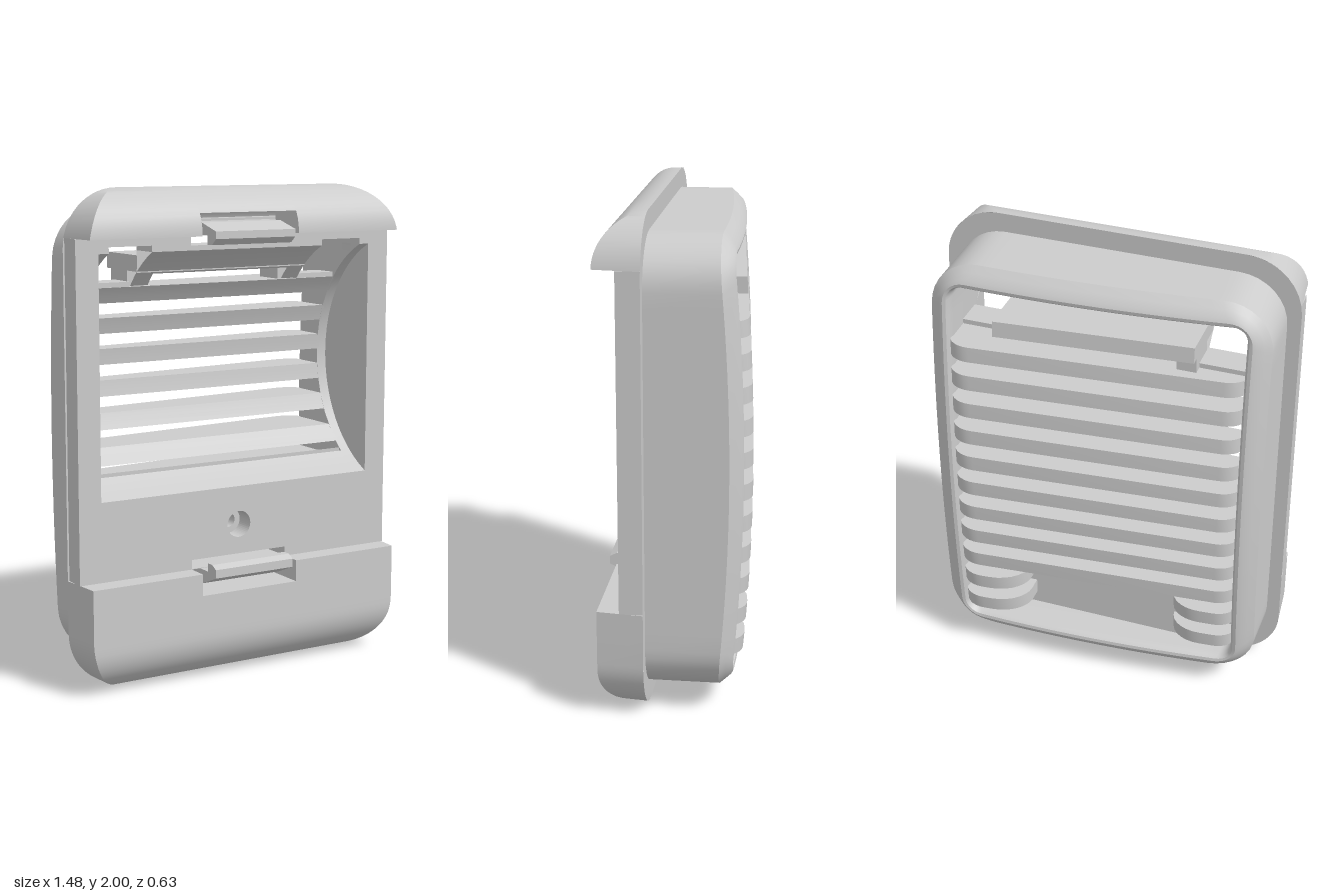
import * as THREE from 'three';
import { toCreasedNormals } from 'three/addons/utils/BufferGeometryUtils.js';

const grey = new THREE.MeshStandardMaterial({ color: 0xcccccc, side: THREE.DoubleSide });
grey.name = 'light grey plastic';

const FACE = 0.185, FLOOR = 0.056, BACK = 0.09;
const SCOOP = { y0: 0.775, y1: 1.75, r: 0.538, cy: 1.2625, cz: 0.413, x: 0.635 };
const INNER = 0.59;

// depth of the cylindrical scoop at a height
const scoopZ = y => SCOOP.cz - Math.sqrt(Math.max(0, SCOOP.r ** 2 - (y - SCOOP.cy) ** 2));
// depth of the tilted, bulging rear edge of the housing
const edgeZ = (x, y) => -(0.197 + 0.06 * x - 0.05 * ((y - 1) / 0.92) ** 2 + 0.035 * (1 - (x / 0.685) ** 2));

function add(group, name, geometry) {
  const mesh = new THREE.Mesh(geometry, grey);
  mesh.name = name;
  group.add(mesh);
  return mesh;
}

// collects four-cornered faces into one geometry
function quadList() {
  const pos = [];
  return {
    quad(a, b, c, d) { pos.push(...a, ...b, ...c, ...a, ...c, ...d); },
    build() {
      const g = new THREE.BufferGeometry();
      g.setAttribute('position', new THREE.Float32BufferAttribute(pos, 3));
      return toCreasedNormals(g, 0.5);
    }
  };
}

// rounded rectangle with subdivided sides, centred on y = 1
function ring(hx, hy, r) {
  const corners = [];
  for (let k = 0; k < 4; k++) {
    const cx = (k === 0 || k === 3 ? 1 : -1) * (hx - r), cy = 1 + (k < 2 ? 1 : -1) * (hy - r);
    const arc = [];
    for (let i = 0; i <= 8; i++) {
      const a = (k + i / 8) * Math.PI / 2;
      arc.push(new THREE.Vector2(cx + r * Math.cos(a), cy + r * Math.sin(a)));
    }
    corners.push(arc);
  }
  return corners.flatMap((arc, k) => {
    const next = corners[(k + 1) % 4][0], side = [];
    for (let j = 1; j < 20; j++) side.push(arc[8].clone().lerp(next, j / 20));
    return [...arc, ...side];
  });
}
const bodyRing = inset => ring(0.685 - inset, 0.92 - inset, 0.2 - 1.6 * inset);

function rectPath(x0, x1, y0, y1) {
  return [[x0, y0], [x1, y0], [x1, y1], [x0, y1]].map(p => new THREE.Vector2(...p));
}

// plate with the scoop opening, clip slots and screw hole cut out
function plate(outline, z0, z1, screwRadius) {
  const shape = new THREE.Shape(outline);
  const { x, y0, y1 } = SCOOP;
  const opening = [[-x, y0], [x, y0], [x, y1], [INNER, y1], [INNER, 1.775], [0.4, 1.775], [0.4, y1],
    [-0.4, y1], [-0.4, 1.775], [-INNER, 1.775], [-INNER, y1], [-x, y1]].map(p => new THREE.Vector2(...p));
  const screw = new THREE.Path().absarc(0, 0.615, screwRadius, 0, Math.PI * 2);
  shape.holes.push(new THREE.Path(opening), screw,
    new THREE.Path(rectPath(-0.225, 0.225, 0.452, 0.49)),
    new THREE.Path(rectPath(-0.225, 0.225, 1.77, 1.808)));
  const g = new THREE.ExtrudeGeometry(shape, { depth: z1 - z0, bevelEnabled: false, curveSegments: 24 });
  return g.translate(0, 0, z0);
}

// rounded raised end of the front frame, with a clip pocket in its inner edge
function frameEnd(end, pocket, top) {
  const R = 0.23, q = quadList(), P = 0.225;
  const Y = d => (top ? 2 - d : d);
  const w = d => (d < R ? 0.74 - R + Math.sqrt(R * R - (R - d) ** 2) : 0.74);
  const zf = d => BACK + 0.186 * (d < 0.19 ? Math.sqrt(1 - (1 - d / 0.19) ** 2) : 1);
  const rows = [pocket, end];
  for (let i = 0; i <= 14; i++) rows.push(R * (1 - Math.cos(i / 14 * Math.PI / 2)));
  const ds = rows.filter(d => d <= end).sort((a, b) => a - b);
  const section = d => {
    const z = zf(d), wf = w(d) - 0.11 * (z - BACK);
    return [[-w(d), Y(d), BACK], [-wf, Y(d), z], [-P, Y(d), z], [P, Y(d), z], [wf, Y(d), z], [w(d), Y(d), BACK]];
  };
  const face = (a, b, c, d) => (top ? q.quad(d, c, b, a) : q.quad(a, b, c, d));
  for (let i = 0; i + 1 < ds.length; i++) {
    const a = section(ds[i]), b = section(ds[i + 1]), inPocket = ds[i] >= pocket - 1e-6;
    for (let j = 0; j < 5; j++) if (!(j === 2 && inPocket)) face(a[j], a[j + 1], b[j + 1], b[j]);
    if (inPocket) for (const s of [2, 3]) {
      q.quad(a[s], b[s], [b[s][0], b[s][1], 0.1], [a[s][0], a[s][1], 0.1]);
    }
  }
  // pocket end wall and the step down to the face
  const p = section(pocket), e = section(end);
  face(p[2], p[3], [P, Y(pocket), 0.1], [-P, Y(pocket), 0.1]);
  face(e[1], e[2], [-P, Y(end), BACK], e[0]);
  face(e[3], e[4], e[5], [P, Y(end), BACK]);
  return q.build();
}

// housing wall: outer side, rounded rear lip and inner pocket wall
function housing() {
  const q = quadList();
  const lip = [[0, 0], [0.025, 0.022], [0.05, 0.042], [0.066, 0.048], [0.08, 0.044], [0.09, 0.03], [0.095, 0.005]];
  const sections = [[0, () => BACK], ...lip.map(([inset, rise]) => [inset, (x, y) => edgeZ(x, y) - rise]),
    [0.095, (x, y) => Math.min(FLOOR, scoopZ(y))]];
  const rings = sections.map(([inset, z]) => bodyRing(inset).map(p => [p.x, p.y, z(p.x, p.y)]));
  for (let k = 0; k + 1 < rings.length; k++) {
    const a = rings[k], b = rings[k + 1], n = a.length;
    for (let i = 0; i < n; i++) q.quad(a[i], b[i], b[(i + 1) % n], a[(i + 1) % n]);
  }
  return q.build();
}

// concave front recess: end walls, side ledges and the closed top and bottom slopes
function scoop() {
  const q = quadList(), N = 40, { y0, y1, x: X } = SCOOP;
  const slope = (xa, xb, a, b) =>
    q.quad([xa, a, scoopZ(a)], [xb, a, scoopZ(a)], [xb, b, scoopZ(b)], [xa, b, scoopZ(b)]);
  for (let i = 0; i < N; i++) {
    const a = y0 + (y1 - y0) * i / N, b = y0 + (y1 - y0) * (i + 1) / N;
    for (const s of [-1, 1]) {
      q.quad([s * X, a, FACE], [s * X, a, scoopZ(a)], [s * X, b, scoopZ(b)], [s * X, b, FACE]);
      slope(s < 0 ? -X : INNER, s < 0 ? -INNER : X, a, b);
      if (a > 1.6) slope(s < 0 ? -0.4 : 0.32, s < 0 ? -0.32 : 0.4, a, b);
    }
    if (b < 0.87) slope(-INNER, INNER, a, b);
    if (a > 1.65) slope(-0.32, 0.32, a, b);
  }
  q.quad([INNER, y0, FLOOR], [-INNER, y0, FLOOR], [-INNER, 0.86, FLOOR], [INNER, 0.86, FLOOR]);
  q.quad([0.4, 1.66, FLOOR], [-0.4, 1.66, FLOOR], [-0.4, y1, FLOOR], [0.4, y1, FLOOR]);
  return q.build();
}

// louvre slat: rounded rear corners, tilted rear edge, front edge following the scoop
function slat(x0, x1, y, r0, r1) {
  const h = 0.066, back = x => 0.269 + 0.0926 * x, pts = [new THREE.Vector2(x1, -1)];
  const corner = (x, dir, r) => {
    const arc = [];
    for (let i = 0; i <= 7; i++) {
      const a = i / 7 * Math.PI / 2, px = x - dir * r * (1 - Math.cos(a));
      arc.push(new THREE.Vector2(px, back(px) - 0.8 * r * (1 - Math.sin(a))));
    }
    return r ? arc : [new THREE.Vector2(x, back(x))];
  };
  pts.push(...corner(x1, 1, r1), ...corner(x0, -1, r0).reverse(), new THREE.Vector2(x0, -1));
  const g = new THREE.ExtrudeGeometry(new THREE.Shape(pts), { depth: h, steps: 2, bevelEnabled: false });
  g.rotateX(-Math.PI / 2).translate(0, y - h / 2, 0);
  const p = g.attributes.position;
  for (let i = 0; i < p.count; i++) {
    const py = p.getY(i), z = p.getZ(i);
    p.setZ(i, z > 0.5 ? Math.min(FLOOR, scoopZ(py)) : z + 0.03 * ((py - 1) / 0.72) ** 2);
  }
  return toCreasedNormals(g, 0.5);
}

// snap hook: side profile in (z, y), swept across x
function hook(profile) {
  const shape = new THREE.Shape(profile.map(([z, y]) => new THREE.Vector2(-z, y)));
  const g = new THREE.ExtrudeGeometry(shape, { depth: 0.37, bevelEnabled: false });
  return g.translate(0, 0, -0.185).rotateY(Math.PI / 2);
}

export function createModel() {
  const model = new THREE.Group();
  model.name = 'ventedHousing';

  add(model, 'housingWall', housing());
  add(model, 'frontPlate', plate(rectPath(-0.733, 0.733, 0.45, 1.81), BACK, FACE, 0.055));
  add(model, 'pocketFloor', plate(bodyRing(0.05), FLOOR, 0.1, 0.03));
  add(model, 'raisedFloor', new THREE.BoxGeometry(1.18, 0.27, 0.16)).position.set(0, 0.315, -0.02);
  add(model, 'scoop', scoop());
  add(model, 'lowerFrame', frameEnd(0.45, 0.36, false));
  add(model, 'upperFrame', frameEnd(0.19, 0.1, true));

  // rear face of the front frame
  const rim = new THREE.Shape(ring(0.74, 1, 0.23));
  rim.holes.push(new THREE.Path(bodyRing(0)));
  add(model, 'frameRear', new THREE.ShapeGeometry(rim).translate(0, 0, BACK));

  // louvres: short pairs at the bottom, full slats, one narrower slat on top
  for (let i = 0; i < 12; i++) {
    const y = 0.27 + i * 0.1297;
    if (i < 2) {
      add(model, 'lowerSlatRight', slat(-0.6, -0.32, y, 0.08, 0.14));
      add(model, 'lowerSlatLeft', slat(0.32, 0.6, y, 0.14, 0.1));
    } else if (i < 11) add(model, 'slat', slat(-0.6, 0.6, y, 0.08, 0.1));
    else add(model, 'topSlat', slat(-0.4, 0.4, y, 0, 0));
  }
  for (const s of [-1, 1]) {
    add(model, 'slatRib', new THREE.BoxGeometry(0.08, 0.07, 0.14)).position.set(s * 0.36, 1.63, -0.1);
    add(model, 'slatLedge', new THREE.BoxGeometry(0.2, 0.02, 0.12)).position.set(s * 0.5, 1.61, -0.07);
  }

  // snap hooks
  add(model, 'lowerHook', hook([[0.04, 0.45], [0.04, 0.39], [0.2, 0.39], [0.31, 0.435], [0.31, 0.47],
    [0.28, 0.485], [0.245, 0.485], [0.245, 0.45]]));
  add(model, 'upperHook', hook([[0.04, 1.812], [0.04, 1.86], [0.2, 1.86], [0.31, 1.83], [0.31, 1.8],
    [0.28, 1.775], [0.245, 1.775], [0.245, 1.812]]));
  return model;
}
